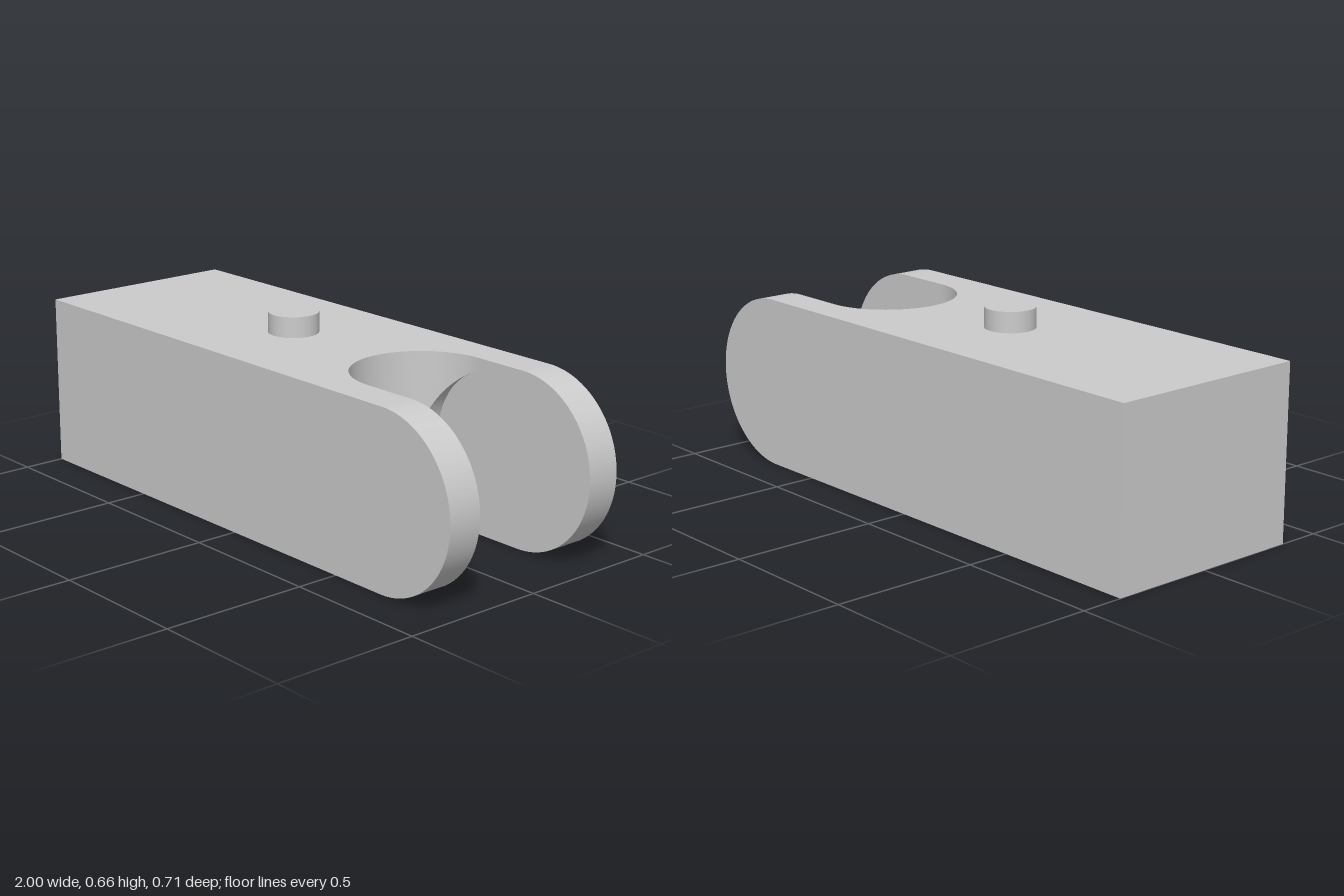
import * as THREE from 'three';

const H = 0.59, MID = H / 2, OUT = 0.355, IN = 0.235; // height, mid height, outer and inner half widths
const END_X = 1 - MID;                                // centre of the rounded arm ends
const SLOT_X = 0.51;                                  // centre of the round slot bottom
const POCKET_X = 0.6, POCKET_R = 0.267;               // cross-bored pocket in the slot
const POCKET_A = Math.acos((POCKET_X - SLOT_X) / POCKET_R);

const material = new THREE.MeshStandardMaterial({ color: 0xcccccc, side: THREE.DoubleSide });

const range = (a, b, n) => Array.from({ length: n + 1 }, (_, i) => a + (b - a) * i / n);

// Ruled surface between two point rows
function strip(rowA, rowB) {
  const g = new THREE.BufferGeometry();
  const index = [];
  const n = rowA.length;
  for (let i = 0; i < n - 1; i++) index.push(i, n + i, i + 1, n + i, n + i + 1, i + 1);
  g.setAttribute('position', new THREE.Float32BufferAttribute([...rowA, ...rowB].flat(), 3));
  g.setIndex(index);
  g.computeVertexNormals();
  return g;
}

// Flat face in the xy plane at depth z, facing +z or -z
function sideFace(shape, z, facing) {
  const g = new THREE.ShapeGeometry(shape, 48);
  if (facing < 0) {
    g.index.array.reverse();
    const normal = g.attributes.normal;
    for (let i = 0; i < normal.count; i++) normal.setZ(i, -1);
  }
  return g.translate(0, 0, z);
}

export function createModel() {
  const model = new THREE.Group();
  const body = new THREE.Group();
  body.name = 'forkedBody';
  model.add(body);
  const add = (name, geometry, parent = body) => {
    const mesh = new THREE.Mesh(geometry, material);
    mesh.name = name;
    parent.add(mesh);
    return mesh;
  };

  // Side profile with a rounded front end
  const profile = new THREE.Shape();
  profile.moveTo(-1, 0);
  profile.lineTo(END_X, 0);
  profile.absarc(END_X, MID, MID, -Math.PI / 2, Math.PI / 2, false);
  profile.lineTo(-1, H);

  // Inner arm face, reaching back into the pocket
  const inner = new THREE.Shape();
  inner.moveTo(SLOT_X, 0);
  inner.lineTo(END_X, 0);
  inner.absarc(END_X, MID, MID, -Math.PI / 2, Math.PI / 2, false);
  inner.lineTo(SLOT_X, H);
  inner.absarc(POCKET_X, MID, POCKET_R, Math.PI - POCKET_A, Math.PI + POCKET_A, false);

  // Plan outline with the round-bottomed slot
  const plan = new THREE.Shape();
  plan.moveTo(-1, -OUT);
  plan.lineTo(END_X, -OUT);
  plan.lineTo(END_X, -IN);
  plan.lineTo(SLOT_X, -IN);
  plan.absarc(SLOT_X, 0, IN, -Math.PI / 2, -Math.PI * 1.5, true);
  plan.lineTo(END_X, IN);
  plan.lineTo(END_X, OUT);
  plan.lineTo(-1, OUT);
  add('topFace', new THREE.ShapeGeometry(plan, 48).rotateX(-Math.PI / 2).translate(0, H, 0));
  add('bottomFace', new THREE.ShapeGeometry(plan, 48).rotateX(Math.PI / 2));
  add('rearFace', new THREE.PlaneGeometry(2 * OUT, H).rotateY(-Math.PI / 2).translate(-1, MID, 0));

  // Slot angle at a point of the pocket edge
  const slotAngle = p => Math.acos(
    THREE.MathUtils.clamp((SLOT_X - POCKET_X + POCKET_R * Math.cos(p)) / IN, 0, 1));

  // The two arms, with their rounded ends and pocket walls
  for (const s of [1, -1]) {
    const side = s > 0 ? 'left' : 'right';
    const arm = new THREE.Group();
    arm.name = s > 0 ? 'frontArm' : 'backArm';
    body.add(arm);
    add('outerFace', sideFace(profile, s * OUT, s), arm);
    add('innerFace', sideFace(inner, s * IN, -s), arm);

    const [zHigh, zLow] = s > 0 ? [OUT, IN] : [-IN, -OUT];
    const endRow = z => range(-Math.PI / 2, Math.PI / 2, 48)
      .map(t => [END_X + MID * Math.cos(t), MID + MID * Math.sin(t), z]);
    add('roundedEnd', strip(endRow(zHigh), endRow(zLow)), arm);

    const pocketRow = zAt => range(-POCKET_A, POCKET_A, 40)
      .map(p => [POCKET_X - POCKET_R * Math.cos(p), MID + POCKET_R * Math.sin(p), zAt(p)]);
    const wall = pocketRow(() => s * IN);
    const edge = pocketRow(p => s * IN * Math.sin(slotAngle(p)));
    add('pocketWall', s > 0 ? strip(wall, edge) : strip(edge, wall), arm);
  }

  // Slot bottom above and below the pocket edge: [angle, half height of the opening]
  const flank = range(0, POCKET_A, 20).map(p => [slotAngle(p), POCKET_R * Math.sin(p)]);
  const t0 = flank[0][0];
  const stations = [
    ...flank.map(([t, h]) => [-t, h]).reverse(),
    ...range(-t0, t0, 24).slice(1, -1).map(t => [t, 0]),
    ...flank,
  ];
  const slotRow = yAt => stations
    .map(([t, h]) => [SLOT_X - IN * Math.cos(t), yAt(h), IN * Math.sin(t)]);
  add('slotWallLower', strip(slotRow(() => 0), slotRow(h => MID - h)));
  add('slotWallUpper', strip(slotRow(h => MID + h), slotRow(() => H)));

  // Small round button on top
  add('topPin', new THREE.CylinderGeometry(0.085, 0.085, 0.07, 48), model)
    .position.set(-0.12, H + 0.035, 0);

  return model;
}
